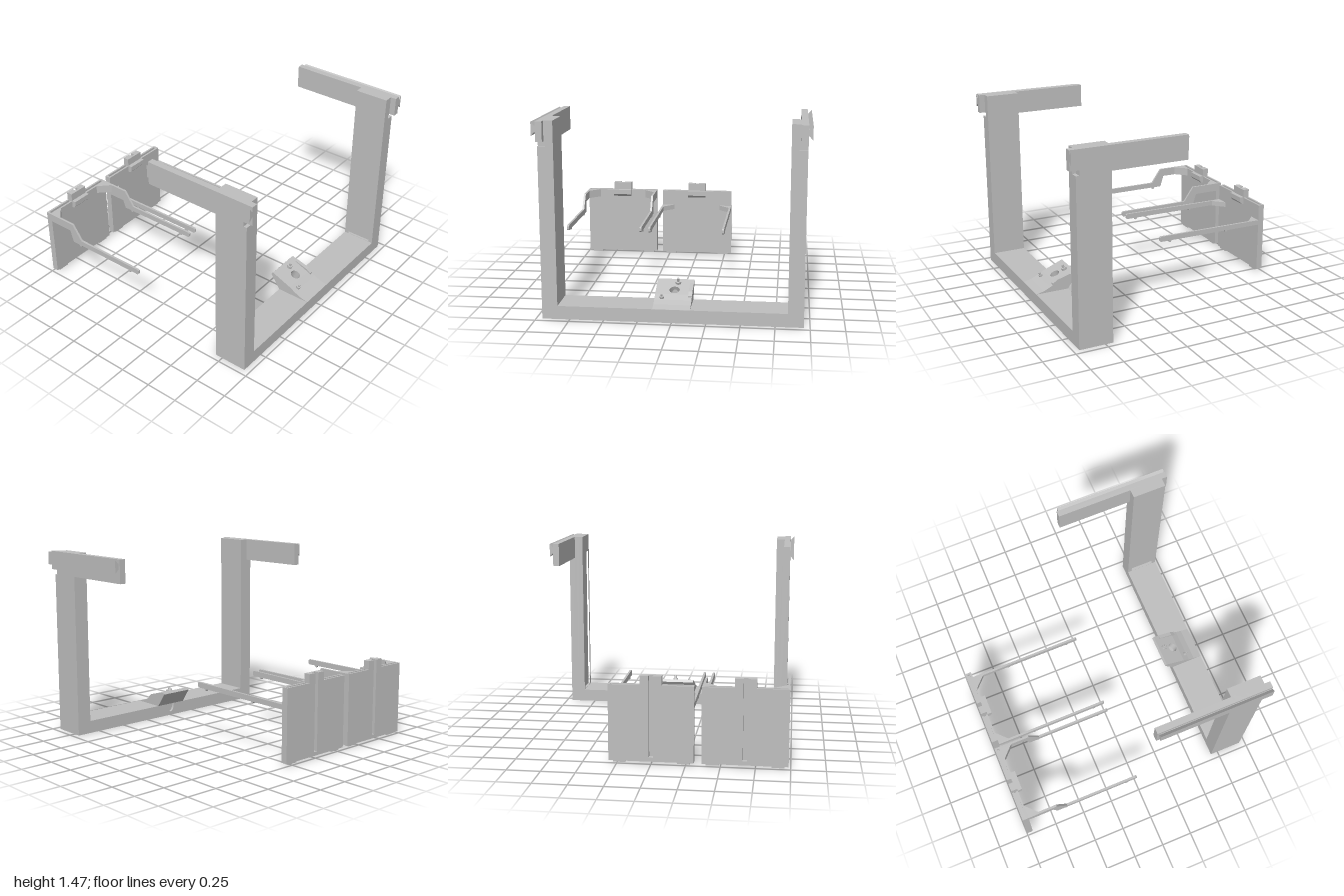
import * as THREE from 'three';

export function createModel() {
  const model = new THREE.Group();
  const grey = new THREE.MeshStandardMaterial({ color: 0xbebebe });
  grey.name = 'plain grey';

  const add = (parent, name, geo) => {
    const m = new THREE.Mesh(geo, grey);
    m.name = name;
    parent.add(m);
    return m;
  };
  const group = (name) => {
    const g = new THREE.Group();
    g.name = name;
    model.add(g);
    return g;
  };
  // Box given by its limits on each axis
  const box = (parent, name, x0, x1, y0, y1, z0, z1) =>
    add(parent, name, new THREE.BoxGeometry(Math.abs(x1 - x0), y1 - y0, z1 - z0)
      .translate((x0 + x1) / 2, (y0 + y1) / 2, (z0 + z1) / 2));
  const shapeOf = (pts) => new THREE.Shape(pts.map(([a, b]) => new THREE.Vector2(a, b)));
  const extrude = (shape, depth) =>
    new THREE.ExtrudeGeometry(shape, { depth, bevelEnabled: false, curveSegments: 20 });
  // Side profile of [z, y] points extruded between two x positions
  const extrudeX = (parent, name, pts, x0, x1, hole) => {
    const shape = shapeOf(pts.map(([z, y]) => [-z, y]));
    if (hole) shape.holes.push(shapeOf(hole.map(([z, y]) => [-z, y])));
    return add(parent, name, extrude(shape, Math.abs(x1 - x0))
      .rotateY(Math.PI / 2).translate(Math.min(x0, x1), 0, 0));
  };

  // Base beam, with a bore outlet cut in its rear edge
  const frame = group('frame');
  box(frame, 'baseBeam', -0.955, 0.955, 0, 0.1, 0.71, 0.955);
  const rear = new THREE.Shape();
  rear.moveTo(-0.955, 0);
  rear.lineTo(0.955, 0);
  rear.lineTo(0.955, 0.1);
  rear.lineTo(0.038, 0.1);
  rear.absellipse(0, 0.1, 0.038, 0.07, 0, Math.PI, true);
  rear.lineTo(-0.955, 0.1);
  add(frame, 'baseRear', extrude(rear, 0.02).translate(0, 0, 0.69));

  // Posts, top arms and dovetail rails
  for (const s of [-1, 1]) {
    const post = [[0.69, 0.1], [0.955, 0.1], [0.955, 1.465], [0.69, 1.465]];
    const channel = [[0.725, 0.102], [0.92, 0.102], [0.92, 1.32], [0.725, 1.32]];
    extrudeX(frame, 'postInnerFace', post, s * 0.84, s * 0.862, s > 0 ? channel : null);
    extrudeX(frame, 'postCore', post, s * 0.862, s * 0.895);
    extrudeX(frame, 'postOuter', [[0.69, 0.1], [0.955, 0.1], [0.955, 1.28], [0.928, 1.28],
      [0.928, 1.318], [0.955, 1.318], [0.955, 1.465], [0.69, 1.465]], s * 0.895, s * 0.955);
    extrudeX(frame, 'topArm', [[0.095, 1.283], [0.928, 1.283], [0.928, 1.318], [1, 1.318],
      [1, 1.465], [0.095, 1.465]], s * 0.907, s * 0.956);
    const rail = [[0.95, 1.388], [0.96, 1.388], [0.986, 1.36], [0.986, 1.462], [0.96, 1.434], [0.95, 1.434]];
    add(frame, 'dovetailRail', extrude(shapeOf(rail.map(([x, y]) => [s * x, y])), 0.89)
      .translate(0, 0, 0.11));
  }

  // Sloping mount on the beam, bored through its middle
  const mount = group('mount');
  const slopeY = (z) => 0.235 - 0.41 * (z - 0.625);
  const tail = [[0.955, 0.101], [0.89, 0.117], [0.84, 0.139], [0.79, slopeY(0.79)]];
  const back = [[0.625, 0.235], [0.61, 0.215], [0.69, 0.1]];
  extrudeX(mount, 'mountRightSide', [...back, ...tail], -0.14, -0.045);
  extrudeX(mount, 'mountLeftSide', [...back, ...tail], 0.045, 0.135);
  extrudeX(mount, 'mountRear', [...back, [0.7, 0.1], [0.7, slopeY(0.7)]], -0.045, 0.045);
  extrudeX(mount, 'mountFront', [[0.79, 0.1], ...tail], -0.045, 0.045);
  const tilt = Math.atan(0.41);
  const half = 0.045 / Math.cos(tilt);
  const plate = shapeOf([[-0.045, -half], [0.045, -half], [0.045, half], [-0.045, half]]);
  plate.holes.push(new THREE.Path().absarc(0, 0, 0.038, 0, Math.PI * 2, true));
  const boredPlate = add(mount, 'boredPlate', extrude(plate, 0.06).translate(0, 0, -0.06));
  boredPlate.rotation.x = tilt - Math.PI / 2;
  boredPlate.position.set(0, slopeY(0.745), 0.745);

  // Small screws and a side catch on the slope
  for (const [x, z, size] of [[0.02, 0.67, 1], [-0.085, 0.83, 0.75]]) {
    const screw = new THREE.Group();
    screw.name = 'screw';
    add(screw, 'screwHead', new THREE.CylinderGeometry(0.021, 0.021, 0.022, 20).translate(0, 0.008, 0));
    add(screw, 'screwStem', new THREE.CylinderGeometry(0.01, 0.01, 0.03, 16).translate(0, 0.03, 0));
    screw.scale.setScalar(size);
    screw.rotation.x = tilt;
    screw.position.set(x, slopeY(z), z);
    mount.add(screw);
  }
  extrudeX(mount, 'sideCatch', [[0.67, 0.19], [0.815, 0.14], [0.815, 0.165], [0.78, 0.19],
    [0.67, 0.222]], 0.108, 0.137);

  // Rear panels, each with a top tab, feet and two long arms
  const makePanel = (name, cx, raised) => {
    const g = group(name);
    g.position.x = cx;
    box(g, 'panelFront', -0.31, 0.31, 0.02, 0.585, -0.965, -0.95);
    box(g, 'panelLowerBack', -0.016, 0.016, 0.02, 0.05, -1, -0.965);
    box(g, 'tabFront', -0.078, 0.078, 0.585, 0.652, -0.965, -0.95);
    extrudeX(g, 'tabLip', [[-0.95, 0.53], [-0.935, 0.53], [-0.915, 0.55], [-0.915, 0.59],
      [-0.95, 0.59]], -0.078, 0.078);
    for (const s of [-1, 1]) {
      box(g, 'panelCore', s * 0.016, s * 0.31, 0.02, 0.56, -0.985, -0.965);
      box(g, 'panelBack', s * 0.016, s * 0.31, 0.02, 0.585, -1, -0.985);
      box(g, 'slotEnd', s * 0.295, s * 0.31, 0.56, 0.585, -0.985, -0.965);
      box(g, 'tabBack', s * 0.016, s * 0.078, 0.56, 0.652, -1, -0.965);
      box(g, 'foot', s * 0.19, s * 0.28, 0.005, 0.02, -0.985, -0.955);

      // Arm: straight, or stepped up where it meets the panel
      const tip = [[-0.04, 0.422], [-0.03, 0.432], [-0.03, 0.457], [-0.04, 0.465]];
      const path = raised
        ? [...tip, [-0.63, 0.465], [-0.715, 0.585], [-0.95, 0.585], [-0.95, 0.518],
          [-0.745, 0.518], [-0.715, 0.422]]
        : [...tip, [-0.95, 0.457], [-0.95, 0.418]];
      extrudeX(g, 'arm', path, s * 0.293, s * 0.31);
      for (const z of [-0.12, -0.64]) {
        extrudeX(g, 'armBump', [[z - 0.015, 0.425], [z - 0.006, 0.408], [z + 0.006, 0.408],
          [z + 0.015, 0.425]], s * 0.293, s * 0.31);
      }
      // Corner gusset between arm and panel
      const [y0, y1] = raised ? [0.518, 0.585] : [0.416, 0.457];
      add(g, 'gusset', extrude(shapeOf([[s * 0.3, 0.95], [s * 0.205, 0.95], [s * 0.293, 0.865],
        [s * 0.3, 0.865]]), y1 - y0).rotateX(-Math.PI / 2).translate(0, y0, 0));
    }
  };
  makePanel('rightPanel', -0.675, true);
  makePanel('middlePanel', 0, false);

  return model;
}
